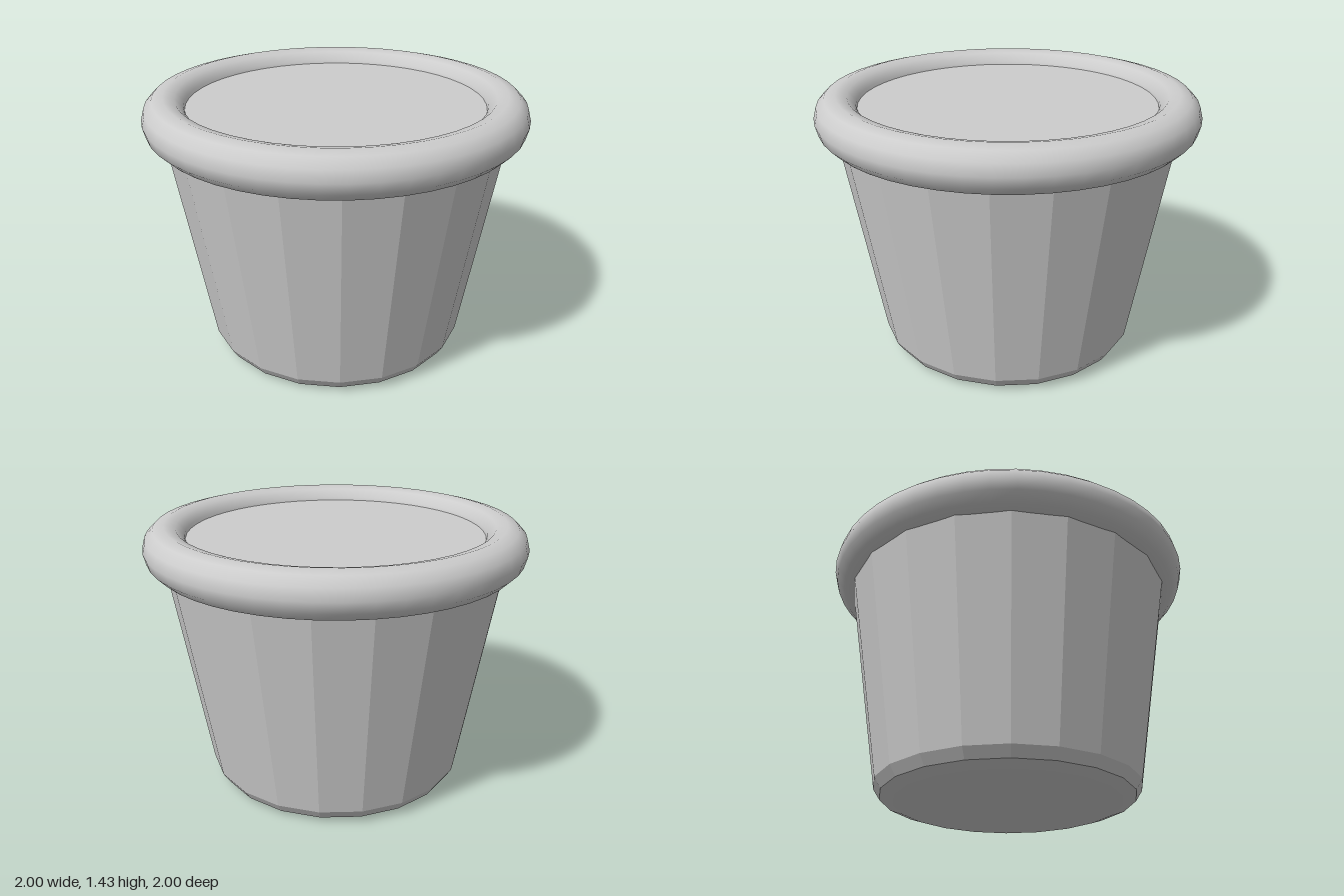
import * as THREE from 'three';

export function createModel() {
  const model = new THREE.Group();
  model.name = 'pot';
  const grey = new THREE.MeshStandardMaterial({ color: 0xcccccc });
  grey.name = 'plain grey';
  const add = (name, geometry, y = 0) => {
    const mesh = new THREE.Mesh(geometry, grey);
    mesh.name = name;
    mesh.position.y = y;
    model.add(mesh);
  };

  // Twenty-sided tapered body with a bevelled foot
  const profile = [[0, 0], [0.6, 0], [0.67, 0.025], [0.705, 0.08], [0.91, 1.3]]
    .map(([r, y]) => new THREE.Vector2(r, y));
  const body = new THREE.LatheGeometry(profile, 20).toNonIndexed();
  body.computeVertexNormals(); // one normal per face gives crisp facets
  add('body', body);

  // Flat surface filling the mouth, its edge buried in the rim
  add('fill', new THREE.CircleGeometry(0.87, 40).rotateX(-Math.PI / 2), 1.355);

  // Smooth rounded rim
  add('rim', new THREE.TorusGeometry(0.885, 0.115, 12, 48).rotateX(-Math.PI / 2), 1.315);

  return model;
}
